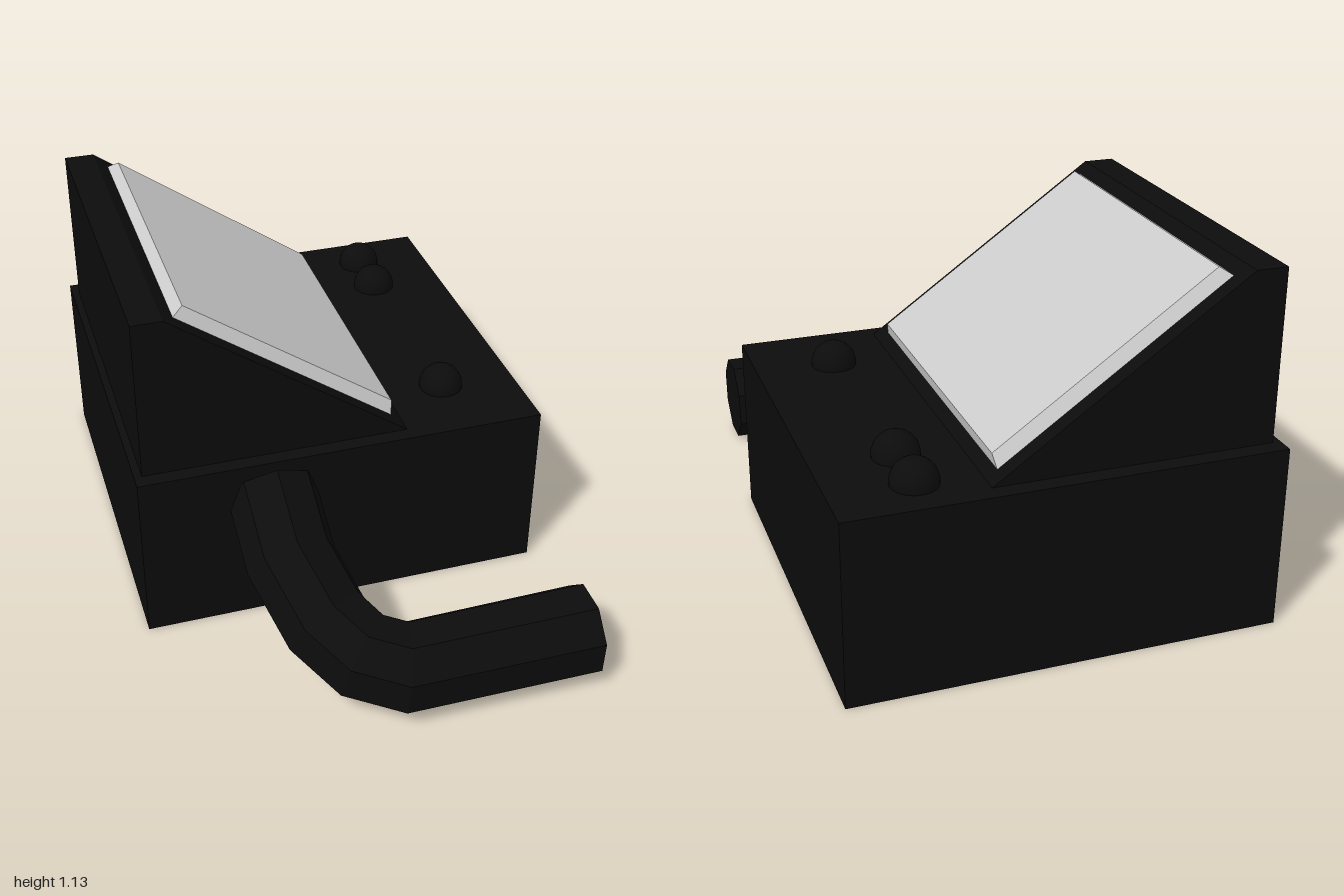
import * as THREE from 'three';

const V = (x, y, z) => new THREE.Vector3(x, y, z);

// Straight-segment path whose rings are mitred at every joint
class BentPath extends THREE.Curve {
  constructor(points) {
    super();
    this.points = points;
  }
  index(u) {
    return Math.round(u * (this.points.length - 1));
  }
  getPointAt(u, target = V(0, 0, 0)) {
    return target.copy(this.points[this.index(u)]);
  }
  getTangentAt(u, target = V(0, 0, 0)) {
    const i = this.index(u), p = this.points;
    target.set(0, 0, 0);
    if (i > 0) target.add(p[i].clone().sub(p[i - 1]).normalize());
    if (i < p.length - 1) target.add(p[i + 1].clone().sub(p[i]).normalize());
    return target.normalize();
  }
}

export function createModel() {
  const group = new THREE.Group();
  const black = new THREE.MeshStandardMaterial({ color: 0x0c0c0c, flatShading: true });
  const blackSmooth = new THREE.MeshStandardMaterial({ color: 0x0c0c0c });
  const grey = new THREE.MeshStandardMaterial({ color: 0xcccccc, flatShading: true });
  const add = (name, geometry, material) => {
    const mesh = new THREE.Mesh(geometry, material);
    mesh.name = name;
    group.add(mesh);
    return mesh;
  };

  // Base box
  add('base', new THREE.BoxGeometry(1.35, 0.59, 1.3), black).position.set(0, 0.295, -0.35);

  // Sloped console on top of the base
  const profile = new THREE.Shape([
    [-0.65, 0.58], [0.239, 0.58], [0.225, 0.59], [-0.55, 1.135], [-0.65, 1.135],
  ].map(([x, y]) => new THREE.Vector2(x, y)));
  const wedge = new THREE.ExtrudeGeometry(profile, { depth: 1.195, bevelEnabled: false });
  add('slopedConsole', wedge, black).position.z = -0.945;

  // Screen: a slab with bevelled sides, local x down the slope, y outward
  const thickness = 0.038;
  const slab = new THREE.BoxGeometry(0.856, thickness, 1.08);
  const pos = slab.attributes.position;
  for (let i = 0; i < pos.count; i++) {
    if (pos.getY(i) > 0) {
      pos.setX(i, pos.getX(i) > 0 ? 0.411 : -0.412);
      pos.setZ(i, Math.sign(pos.getZ(i)) * 0.516);
    }
  }
  slab.translate(0.477, thickness / 2, 0);
  slab.computeVertexNormals();
  const screen = add('screen', slab, grey);
  screen.position.set(-0.55, 1.135, -0.35);
  screen.rotation.z = -Math.atan2(0.545, 0.775);

  // Domed buttons
  for (const z of [-0.85, -0.67, 0.04]) {
    add('button', new THREE.SphereGeometry(0.073, 24, 16), blackSmooth).position.set(0.42, 0.598, z);
  }

  // Bent octagonal handle; the last ring is collapsed to close the end
  const path = new BentPath([
    V(-0.235, 0.45, 0.26), V(-0.235, 0.335, 0.48), V(-0.175, 0.22, 0.67),
    V(-0.095, 0.17, 0.79), V(0.02, 0.148, 0.852), V(0.624, 0.148, 0.852),
    V(0.625, 0.148, 0.852),
  ]);
  const segments = path.points.length - 1;
  const tube = new THREE.TubeGeometry(path, segments, 0.148, 8, false);
  const end = path.points[segments];
  for (let j = 0; j <= 8; j++) {
    tube.attributes.position.setXYZ(segments * 9 + j, end.x, end.y, end.z);
  }
  add('bentHandle', tube, black);

  return group;
}
